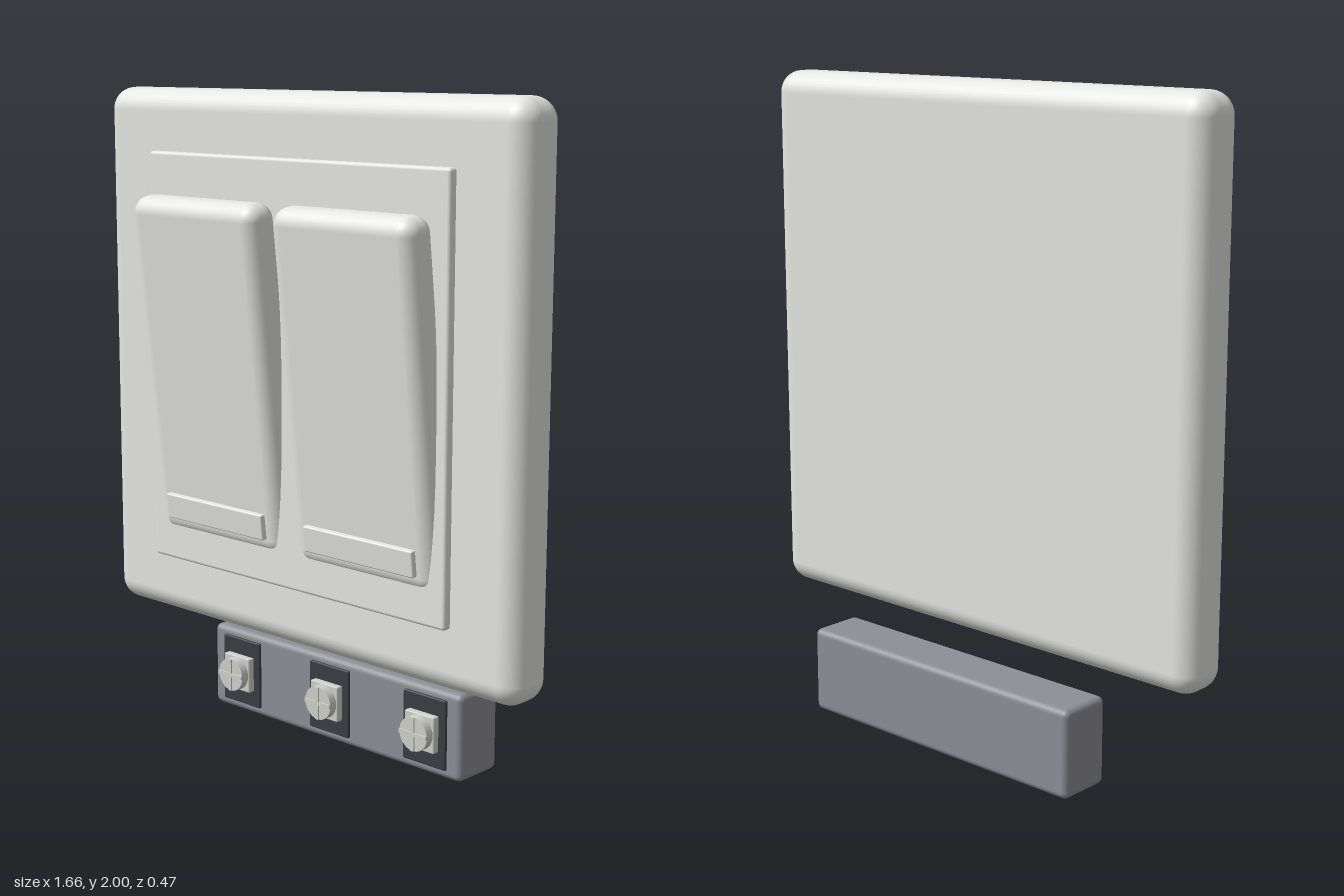
import * as THREE from 'three';
import { RoundedBoxGeometry } from 'three/addons/geometries/RoundedBoxGeometry.js';

export function createModel() {
  const mat = (name, color) => {
    const m = new THREE.MeshStandardMaterial({ color });
    m.name = name;
    return m;
  };
  const ivory = mat('ivory plastic', 0xe6e6e2);
  const grey = mat('grey plastic', 0x8e8f96);
  const dark = mat('dark recess', 0x3c3d43);
  const metal = mat('screw metal', 0xd2d2cc);

  const model = new THREE.Group();
  model.name = 'doubleSwitch';
  const add = (parent, name, geometry, material, x, y, z) => {
    const mesh = new THREE.Mesh(geometry, material);
    mesh.name = name;
    mesh.position.set(x, y, z);
    parent.add(mesh);
    return mesh;
  };
  const rounded = (w, h, d, r, seg = 5) => new RoundedBoxGeometry(w, h, d, seg, r);

  // Wall plate and raised bezel
  add(model, 'wallPlate', rounded(1.664, 1.664, 0.174, 0.068), ivory, 0, 1.168, 0.006);
  add(model, 'bezel', rounded(1.2, 1.28, 0.08, 0.01, 2), ivory, 0, 1.17, 0.078);

  // Two rockers, tilted out at the top, each with an indicator bar
  for (const side of [-1, 1]) {
    const rocker = new THREE.Group();
    rocker.name = side < 0 ? 'rightRocker' : 'leftRocker';
    rocker.position.set(side * 0.297, 1.153, 0.125);
    rocker.rotation.x = 0.115;
    add(rocker, 'rockerKey', rounded(0.532, 1.068, 0.116, 0.05), ivory, 0, 0, 0);
    add(rocker, 'indicatorBar', rounded(0.42, 0.08, 0.035, 0.005, 2), ivory, 0, -0.438, 0.057);
    model.add(rocker);
  }

  // Terminal block below the plate
  add(model, 'terminalBlock', rounded(1.04, 0.27, 0.175, 0.02, 3), grey, 0, 0.139, -0.149);

  // Three terminals: dark recess, square clamp, cross-slotted screw
  for (const x of [-0.387, 0, 0.387]) {
    const terminal = new THREE.Group();
    terminal.name = 'terminal';
    terminal.position.set(x, 0.141, 0);
    add(terminal, 'recess', rounded(0.164, 0.217, 0.02, 0.004, 1), dark, 0, 0, -0.063);
    add(terminal, 'clamp', rounded(0.113, 0.113, 0.025, 0.004, 1), metal, 0, 0, -0.043);
    const head = new THREE.CylinderGeometry(0.053, 0.053, 0.034, 28).rotateX(Math.PI / 2);
    add(terminal, 'screwHead', head, metal, 0, 0, -0.021);
    add(terminal, 'verticalCross', new THREE.BoxGeometry(0.012, 0.104, 0.008), metal, 0, 0, -0.003);
    add(terminal, 'horizontalCross', new THREE.BoxGeometry(0.104, 0.012, 0.008), metal, 0, 0, -0.003);
    model.add(terminal);
  }

  return model;
}
